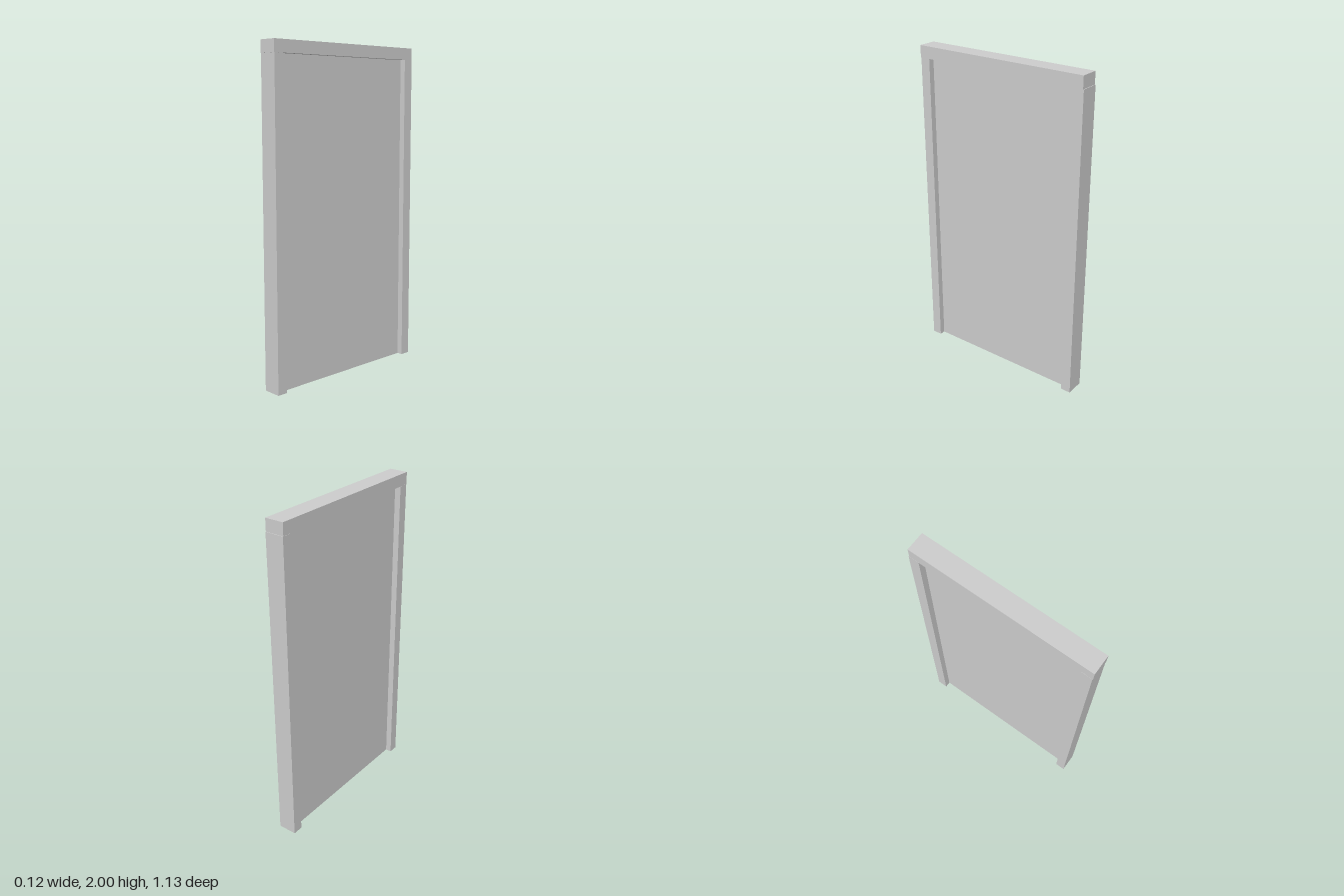
import * as THREE from 'three';

export function createModel() {
  const model = new THREE.Group();
  model.name = 'framedDoor';
  const paint = new THREE.MeshStandardMaterial({ color: 0xcccccc });
  paint.name = 'light grey paint';

  // Adds a box given by its lower and upper corners.
  function addBox(name, [x0, y0, z0], [x1, y1, z1]) {
    const mesh = new THREE.Mesh(new THREE.BoxGeometry(x1 - x0, y1 - y0, z1 - z0), paint);
    mesh.position.set((x0 + x1) / 2, (y0 + y1) / 2, (z0 + z1) / 2);
    mesh.name = name;
    model.add(mesh);
  }

  const openingTop = 1.927;
  const openingHalf = 0.498;

  // Frame: two uprights with the lintel resting on them, slightly offset
  addBox('frontJamb', [-0.059, 0, openingHalf], [0.057, openingTop, 0.56]);
  addBox('backJamb', [-0.059, 0, -0.563], [0.057, openingTop, -openingHalf]);
  addBox('lintel', [-0.058, openingTop, -0.559], [0.058, 2, 0.563]);

  // Door leaf, recessed equally on both sides
  addBox('doorPanel', [-0.021, 0, -openingHalf], [0.021, openingTop, openingHalf]);

  return model;
}
